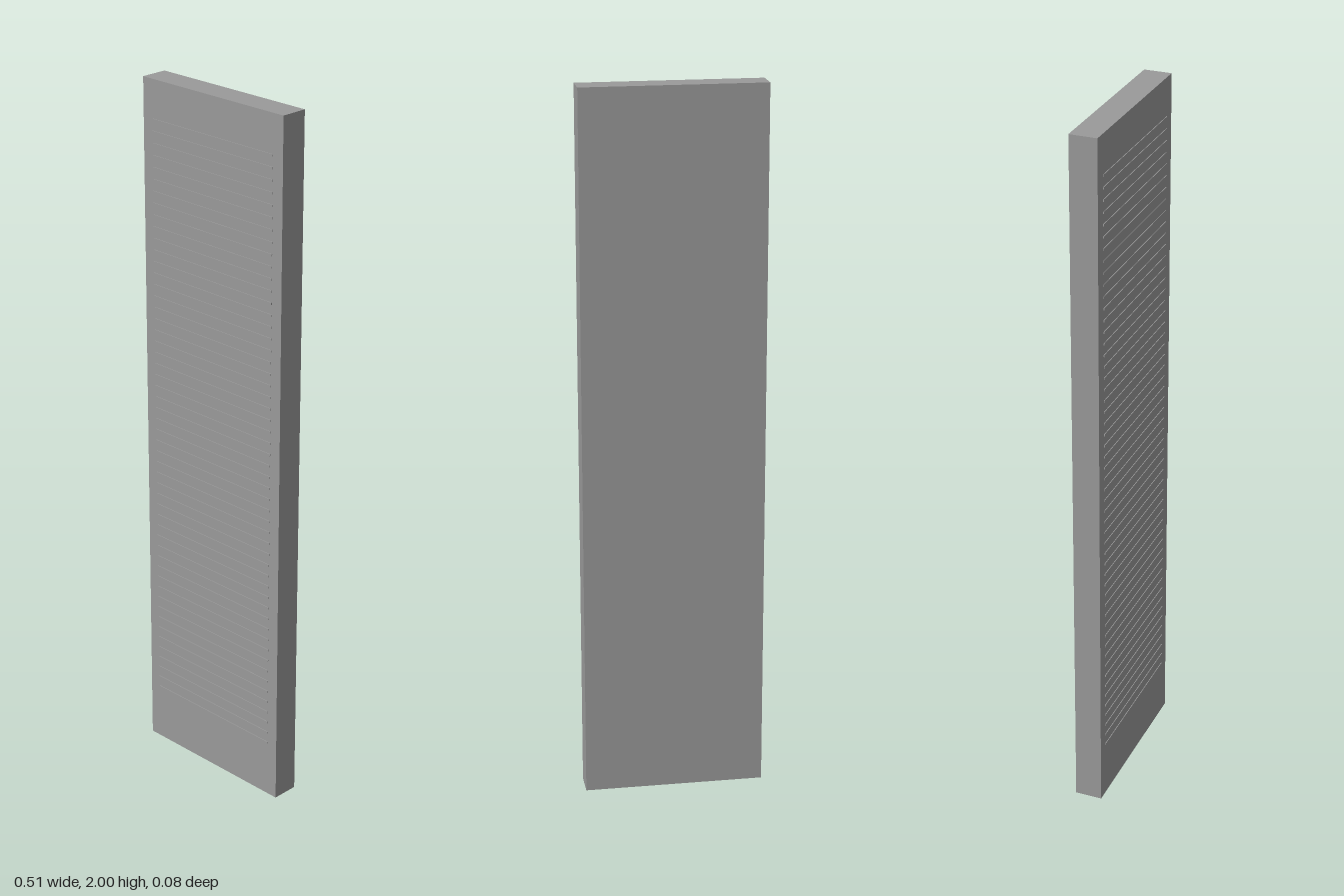
import * as THREE from 'three';

export function createModel() {
  const group = new THREE.Group();
  const material = new THREE.MeshStandardMaterial({ color: 0x9a9a9a });

  // Flat upright slab
  const panel = new THREE.Mesh(new THREE.BoxGeometry(0.506, 2, 0.077), material);
  panel.name = 'panel';
  panel.position.set(0, 1, -0.001);
  group.add(panel);

  // Evenly spaced thin slats, slightly proud of the front face
  const ribs = new THREE.Group();
  ribs.name = 'ribs';
  const count = 53, bottom = 0.168, top = 1.89;
  const ribGeometry = new THREE.BoxGeometry(0.438, 0.006, 0.004);
  for (let i = 0; i < count; i++) {
    const rib = new THREE.Mesh(ribGeometry, material);
    rib.name = 'rib';
    rib.position.set(0, bottom + (top - bottom) * i / (count - 1), 0.0375);
    ribs.add(rib);
  }
  group.add(ribs);

  return group;
}
